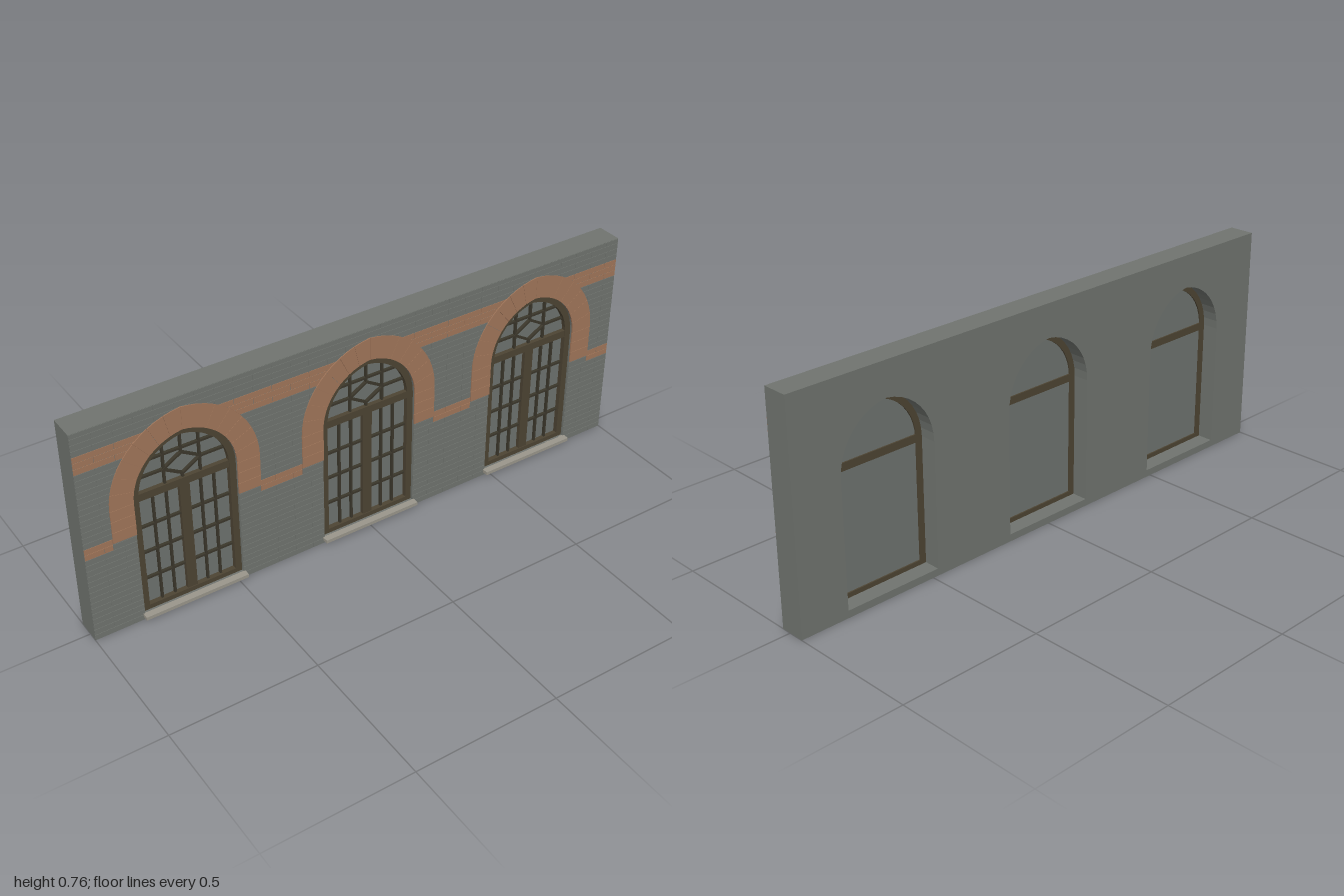
import * as THREE from 'three';
import { mergeGeometries } from 'three/addons/utils/BufferGeometryUtils.js';

const mat = (name, color) => Object.assign(new THREE.MeshStandardMaterial({ color }), { name });

// Wall and opening dimensions
const TOP = 0.765, BACK = -0.055, FACE = 0.0335;
const CENTRES = [-0.655, 0, 0.655];
const HALF = 0.174, SPRING = 0.455, RADIUS = 0.196, OFFSET = RADIUS - HALF;
const SILL_Y = 0.025, RING = 0.078, RING_BASE = 0.337;

// Half-width of the two-centred arch opening at height y, grown by extra
function halfWidth(y, extra = 0) {
  if (y <= SPRING) return HALF + extra;
  const r = RADIUS + extra, t = y - SPRING;
  return t < r ? Math.max(0, Math.sqrt(r * r - t * t) - OFFSET) : 0;
}

// Point on the right half of the arch, t = 0 at the springing and 1 at the apex
function archPoint(extra, t) {
  const r = RADIUS + extra, a = Math.acos(OFFSET / r) * t;
  return new THREE.Vector2(r * Math.cos(a) - OFFSET, SPRING + r * Math.sin(a));
}

// Closed outline of an arched opening
function outline(extra, bottom, cx = 0) {
  const pts = [new THREE.Vector2(HALF + extra, bottom)];
  const n = 10;
  for (let i = 0; i <= n; i++) pts.push(archPoint(extra, i / n));
  for (let i = n - 1; i >= 0; i--) {
    const p = archPoint(extra, i / n);
    pts.push(new THREE.Vector2(-p.x, p.y));
  }
  pts.push(new THREE.Vector2(-HALF - extra, bottom));
  return pts.map(p => new THREE.Vector2(p.x + cx, p.y));
}

function extrude(shape, z0, z1) {
  return new THREE.ExtrudeGeometry(shape, { depth: z1 - z0, bevelEnabled: false }).translate(0, 0, z0);
}

// Box between limits, non-indexed so that it merges with extrusions
function box(x0, x1, y0, y1, z0, z1) {
  return new THREE.BoxGeometry(x1 - x0, y1 - y0, z1 - z0)
    .translate((x0 + x1) / 2, (y0 + y1) / 2, (z0 + z1) / 2)
    .toNonIndexed();
}

function add(group, name, geometries, material) {
  const mesh = new THREE.Mesh(mergeGeometries(geometries), material);
  mesh.name = name;
  group.add(mesh);
}

// Brick facing, clipped around the openings
function brickwork() {
  const grey = [], red = [], pitch = 0.0208, length = 0.13, gap = 0.0008;
  for (let row = 0; row * pitch < TOP; row++) {
    const y0 = row * pitch, y1 = Math.min(TOP, y0 + pitch);
    const lowBand = row === 15 || row === 16;
    const isRed = lowBand || (row >= 30 && row < 33);
    const put = (list, a, b) => {
      if (b - a > 0.004) list.push(box(a + gap, b - gap, y0 + gap, y1 - gap, FACE - 0.001, 0.035));
    };
    let hw = y0 < RING_BASE ? HALF + 0.001 : halfWidth(y0, RING / 2);
    if (lowBand) {
      // plain bricks between the band and the openings
      for (const cx of CENTRES) for (const s of [-1, 1]) {
        const e = [cx + s * (HALF + 0.001), cx + s * (HALF + RING)].sort((a, b) => a - b);
        put(grey, e[0], e[1]);
      }
      hw = HALF + RING;
    }
    let left = -1;
    const spans = [];
    if (y1 > SILL_Y && hw > 0) for (const cx of CENTRES) {
      spans.push([left, cx - hw]);
      left = cx + hw;
    }
    spans.push([left, 1]);
    for (const [a, b] of spans) {
      for (let x = -1 - (row % 2) * length / 2; x < 1; x += length) {
        put(isRed ? red : grey, Math.max(a, x), Math.min(b, x + length));
      }
    }
  }
  return { grey, red };
}

// Voussoirs and stacked jamb blocks around an opening
function archRing() {
  const blocks = [], count = 7, z0 = FACE - 0.001, z1 = 0.038, g = 0.008;
  for (const s of [-1, 1]) {
    for (let i = 0; i < count; i++) {
      const ts = [(i + g) / count, (i + 0.5) / count, (i + 1 - g) / count];
      const pts = [...ts.map(t => archPoint(RING, t)), ...ts.reverse().map(t => archPoint(0, t))];
      blocks.push(extrude(new THREE.Shape(pts.map(p => new THREE.Vector2(p.x * s, p.y))), z0, z1));
    }
    const h = (SPRING - RING_BASE) / 3, x = s * (HALF + RING / 2);
    for (let i = 0; i < 3; i++) {
      const y = RING_BASE + i * h;
      blocks.push(box(x - RING / 2, x + RING / 2, y + 0.0006, y + h - 0.0006, z0, z1));
    }
  }
  return blocks;
}

// Thin glazing bars of the doors and the fanlight
function glazingBars() {
  const bars = [], t = 0.0035, z0 = 0.008, z1 = 0.019;
  const vertical = (x, a, b) => bars.push(box(x - t, x + t, a, b, z0, z1));
  const horizontal = (y, a, b) => bars.push(box(a, b, y - t, y + t, z0, z1));
  for (const s of [-1, 1]) {
    for (const x of [0.058, 0.103]) vertical(s * x, 0.04, 0.445);
    vertical(s * 0.06, 0.465, 0.615);
    const side = [s * 0.064, s * 0.145].sort((a, b) => a - b);
    horizontal(0.518, side[0], side[1]);
  }
  for (const y of [0.14, 0.24, 0.337]) horizontal(y, -0.15, 0.15);
  const w = halfWidth(0.572, -0.012);
  horizontal(0.572, -w, w);
  vertical(0, 0.555, 0.635);
  vertical(0, 0.46, 0.481);
  // diamond
  const diamond = (a, b) => [[a, 0], [0, b], [-a, 0], [0, -b]].map(([x, y]) => new THREE.Vector2(x, y + 0.518));
  const shape = new THREE.Shape(diamond(0.07, 0.042));
  shape.holes.push(new THREE.Path(diamond(0.057, 0.034)));
  bars.push(extrude(shape, z0, z1 + 0.001));
  return bars;
}

export function createModel() {
  const model = new THREE.Group();
  model.name = 'arcadeWall';
  const stone = mat('grey brick', 0x70746f);
  const terracotta = mat('terracotta brick', 0xa1765a);
  const wood = mat('brown wood', 0x4d4433);
  const darkWood = mat('dark glazing bar', 0x3b372b);
  const glass = mat('grey glass', 0x6e736f);
  const sillStone = mat('pale sill stone', 0x9a968b);

  // Wall with three arched openings
  const wall = new THREE.Shape([[-1, 0], [1, 0], [1, TOP], [-1, TOP]].map(p => new THREE.Vector2(...p)));
  for (const cx of CENTRES) wall.holes.push(new THREE.Path(outline(0, SILL_Y, cx)));
  add(model, 'wall', [extrude(wall, BACK, FACE)], stone);

  const bricks = brickwork();
  add(model, 'greyBricks', bricks.grey, stone);
  add(model, 'terracottaBands', bricks.red, terracotta);

  // Frame follows the opening, with a heavy transom
  const frame = new THREE.Shape(outline(0, SILL_Y));
  frame.holes.push(new THREE.Path(outline(-0.022, SILL_Y + 0.016)));
  const rails = [
    box(-0.16, 0.16, 0.441, 0.467, 0.001, 0.024),
    box(-0.017, 0.017, 0.035, 0.445, 0.008, 0.023),
  ];

  for (const cx of CENTRES) {
    const bay = new THREE.Group();
    bay.name = 'windowBay';
    bay.position.x = cx;
    add(bay, 'archRing', archRing(), terracotta);
    add(bay, 'frame', [extrude(frame, 0.001, 0.026)], wood);
    add(bay, 'transomAndMullion', rails, wood);
    add(bay, 'glazingBars', glazingBars(), darkWood);
    add(bay, 'glassPane', [extrude(new THREE.Shape(outline(-0.008, SILL_Y + 0.008)), 0.006, 0.009)], glass);
    add(bay, 'sill', [box(-0.181, 0.181, 0.013, 0.025, 0.03, 0.057)], sillStone);
    model.add(bay);
  }
  return model;
}
